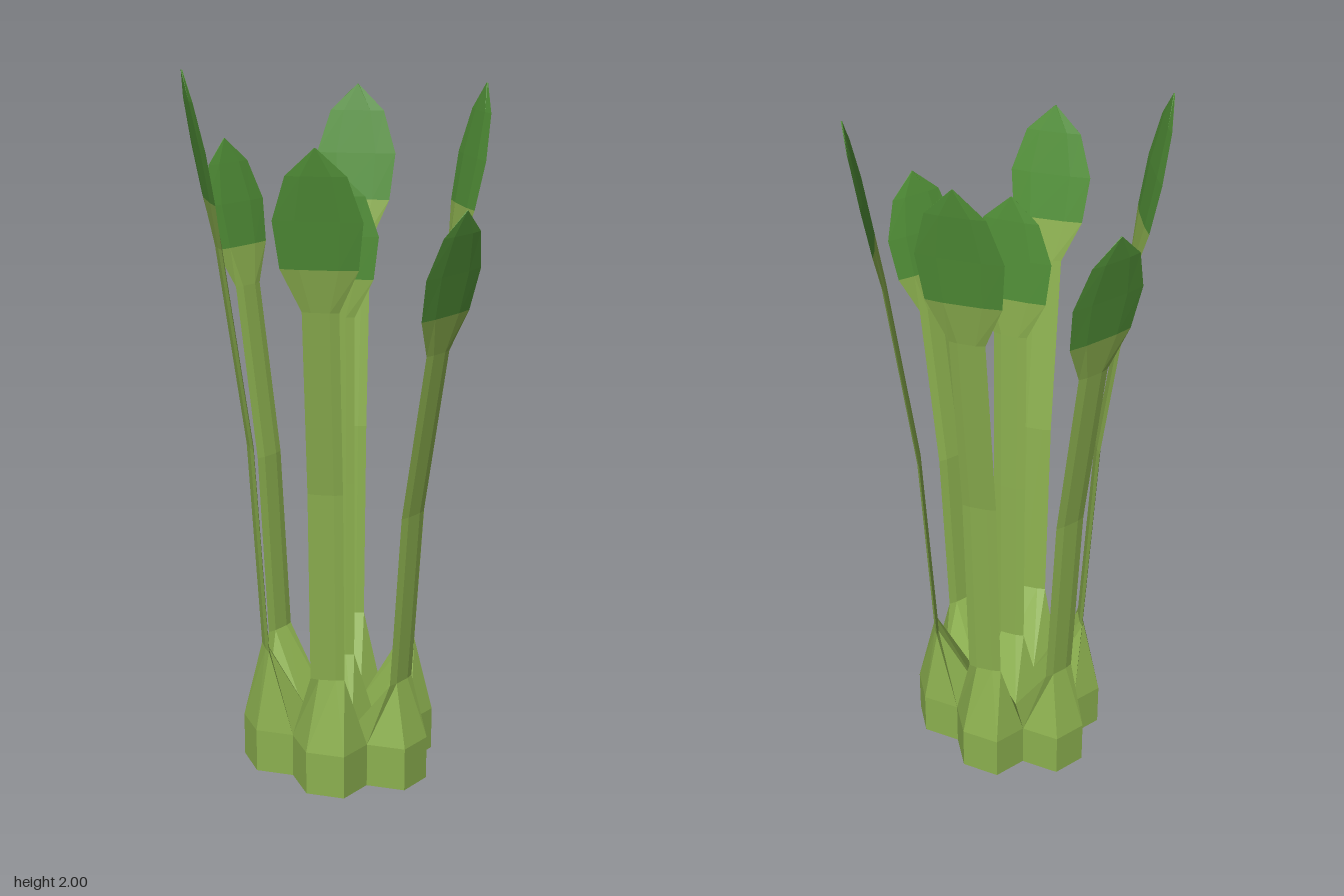
import * as THREE from 'three';

const STALK = new THREE.MeshStandardMaterial({ color: 0x8cb04f, flatShading: true });
const BLADE = new THREE.MeshStandardMaterial({ color: 0x529138, flatShading: true });
const DEG = Math.PI / 180;
const BASE_Y = 0.13;

// Stalk sections: height fraction, half width, half thickness, outward bend
const STEM = [
  [0.185, 0.048, 0.006, 0.04],
  [0.49, 0.048, 0.006, 0.075],
  [0.77, 0.048, 0.006, 0.151],
  [0.832, 0.1, 0.006, 0.174],
];
const HEAD = [
  [0.832, 0.1, 0.006, 0.174],
  [0.9, 0.114, 0.006, 0.198],
  [0.962, 0.077, 0.005, 0.222],
  [1, 0.002, 0.002, 0.236],
];

// Skin between six-point rings, listed bottom to top
function loft(rings, capBottom, capTop) {
  const pos = [];
  const tri = (...pts) => pts.forEach((p) => pos.push(p.x, p.y, p.z));
  for (let i = 0; i < rings.length - 1; i++) {
    const a = rings[i], b = rings[i + 1];
    for (let k = 0; k < 6; k++) {
      const n = (k + 1) % 6;
      tri(a[k], b[k], a[n]);
      tri(a[n], b[k], b[n]);
    }
  }
  const low = rings[0], high = rings[rings.length - 1];
  for (let k = 1; k < 5; k++) {
    if (capBottom) tri(low[0], low[k], low[k + 1]);
    if (capTop) tri(high[0], high[k + 1], high[k]);
  }
  const geo = new THREE.BufferGeometry();
  geo.setAttribute('position', new THREE.Float32BufferAttribute(pos, 3));
  geo.computeVertexNormals();
  return geo;
}

// Hexagonal cell outline at the foot
function cellRing(cx, cz, y) {
  return Array.from({ length: 6 }, (_, k) => new THREE.Vector3(
    cx + 0.099 * Math.cos(k * 60 * DEG), y, cz + 0.0985 * Math.sign(Math.round(Math.sin(k * 60 * DEG) * 10))));
}

// Flattened hexagon, wide across the outward direction
function stalkRing(cx, cz, angle, height, bend, [f, w, t, out]) {
  const rx = Math.cos(angle * DEG), rz = Math.sin(angle * DEG);
  const shift = Math.round((angle - 90) / 60);
  return Array.from({ length: 6 }, (_, k) => {
    const a = (k - shift) * 60 * DEG;
    const u = w * Math.cos(a), v = t * Math.sin(a) + out * bend;
    return new THREE.Vector3(cx + rz * u + rx * v, f * height, cz - rx * u + rz * v);
  });
}

function makeStalk(name, cx, cz, angle, height, bend = 1) {
  const group = new THREE.Group();
  group.name = name;
  const ring = (s) => stalkRing(cx, cz, angle, height, bend, s);
  const stem = new THREE.Mesh(
    loft([cellRing(cx, cz, 0), cellRing(cx, cz, BASE_Y), ...STEM.map(ring)], true, false), STALK);
  stem.name = 'stem';
  const head = new THREE.Mesh(loft(HEAD.map(ring), false, true), BLADE);
  head.name = 'leafTip';
  group.add(stem, head);
  return group;
}

export function createModel() {
  const model = new THREE.Group();
  model.name = 'leafyStalks';
  const x = 0.148, z = 0.098, a = 34;
  model.add(
    makeStalk('centreStalk', 0, 0, 150, 1.73, 0.08),
    makeStalk('frontStalk', 0, 0.197, 90, 1.67),
    makeStalk('backStalk', 0, -0.197, -90, 1.78),
    makeStalk('frontLeftStalk', x, z, a, 1.95),
    makeStalk('backLeftStalk', x, -z, -a, 1.92),
    makeStalk('frontRightStalk', -x, z, 180 - a, 1.84),
    makeStalk('backRightStalk', -x, -z, 180 + a, 2.0),
  );
  return model;
}
